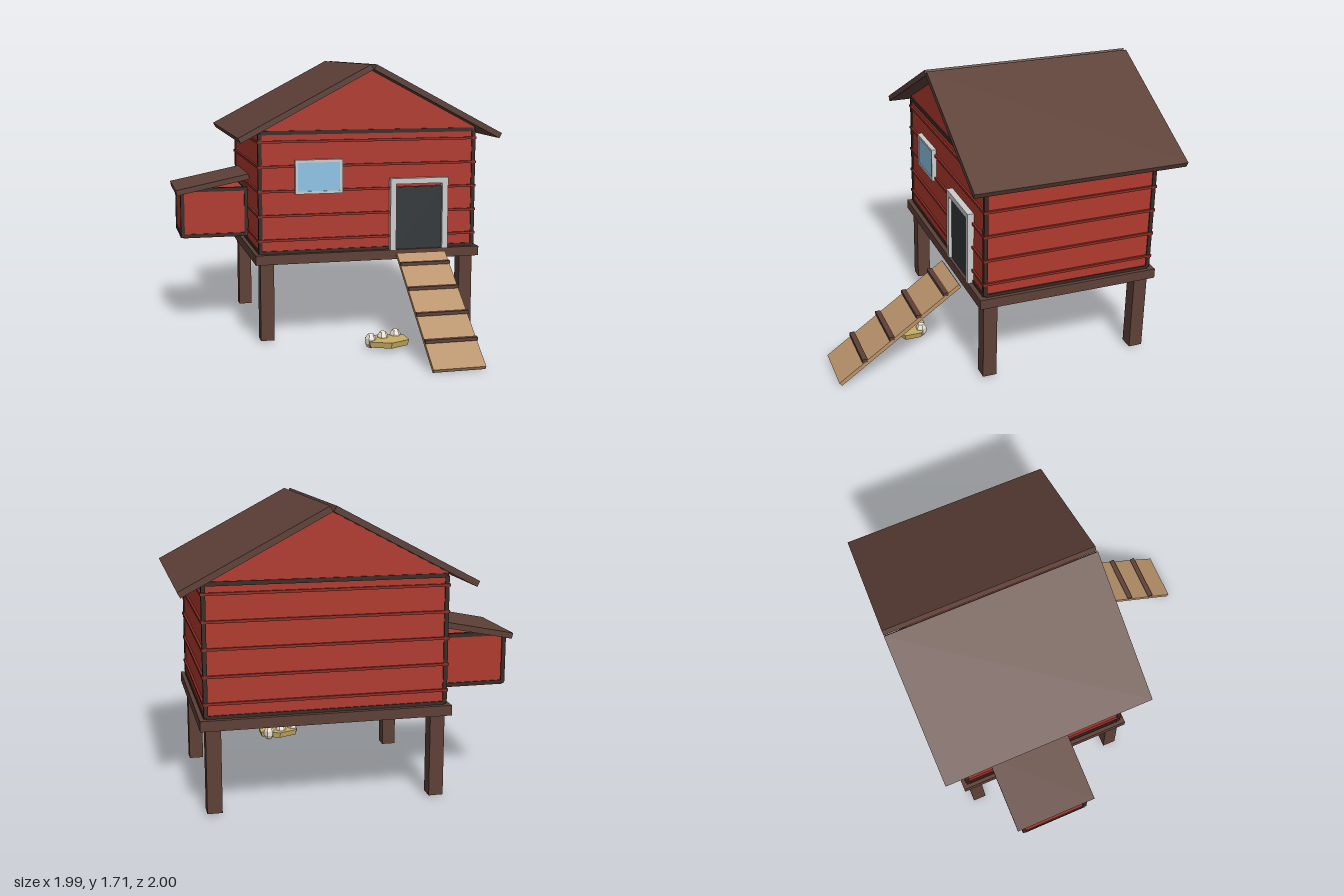
import * as THREE from 'three';

const mat = (color) => new THREE.MeshStandardMaterial({ color, flatShading: true });

export function createModel() {
  const model = new THREE.Group();
  const red = mat(0xb03a2e), batten = mat(0x8c2c24), wood = mat(0x5d4037), trim = mat(0x3a2a26);
  const plank = mat(0xb8926a), white = mat(0xdcdcdc), glass = mat(0x8ec3e6), dark = mat(0x33383b);
  const straw = mat(0xc9ae62), shell = mat(0xe8e0d0);

  const add = (name, geometry, material, x = 0, y = 0, z = 0) => {
    const mesh = new THREE.Mesh(geometry, material);
    mesh.name = name;
    mesh.position.set(x, y, z);
    model.add(mesh);
    return mesh;
  };
  // Box given by its minimum and maximum corners
  const box = (name, material, [x0, y0, z0], [x1, y1, z1]) =>
    add(name, new THREE.BoxGeometry(x1 - x0, y1 - y0, z1 - z0), material,
      (x0 + x1) / 2, (y0 + y1) / 2, (z0 + z1) / 2);

  // Red box with dark strips along all twelve edges
  const trimmedBox = (name, lo, hi, t) => {
    box(name, red, lo, hi);
    const size = hi.map((v, i) => v - lo[i]);
    const mid = hi.map((v, i) => (v + lo[i]) / 2);
    for (let axis = 0; axis < 3; axis++) {
      const b = (axis + 1) % 3, c = (axis + 2) % 3;
      for (const sb of [-1, 1]) for (const sc of [-1, 1]) {
        const dim = [t, t, t], pos = [...mid];
        dim[axis] = size[axis] - t * 0.6;
        pos[b] += sb * (size[b] / 2 - t * 0.2);
        pos[c] += sc * (size[c] / 2 - t * 0.2);
        add(name + 'Trim', new THREE.BoxGeometry(...dim), trim, ...pos);
      }
    }
  };

  const CX = 0.1625, CZ = -0.35; // centre of the house

  // Platform and legs
  box('platform', wood, [-0.555, 0.505, -0.91], [0.88, 0.565, 0.21]);
  for (const sx of [-1, 1]) for (const sz of [-1, 1])
    add('leg', new THREE.BoxGeometry(0.085, 0.485, 0.085), wood, CX + sx * 0.643, 0.2625, CZ + sz * 0.485);

  // House walls and horizontal battens
  trimmedBox('walls', [-0.525, 0.567, -0.875], [0.85, 1.315, 0.175], 0.024);
  for (let i = 0; i < 5; i++)
    add('batten', new THREE.BoxGeometry(1.4, 0.015, 1.075), batten, CX, 0.65 + i * 0.1515, CZ);

  // Gable
  const gable = new THREE.Shape();
  gable.moveTo(-0.6875, 1.31);
  gable.lineTo(0.6875, 1.31);
  gable.lineTo(0.6875, 1.33);
  gable.lineTo(0, 1.693);
  gable.lineTo(-0.6875, 1.33);
  add('gable', new THREE.ExtrudeGeometry(gable, { depth: 1.05, bevelEnabled: false }), red, CX, 0, -0.875);

  // Roof slopes
  for (const s of [-1, 1]) {
    const slope = add('roofSlope', new THREE.BoxGeometry(0.918, 0.035, 1.29), wood, CX + s * 0.415, 1.491, -0.355);
    slope.rotation.z = -s * 0.487;
  }

  // Nesting box with its sloping lid
  trimmedBox('nestingBox', [-0.96, 0.615, -0.67], [-0.54, 0.922, -0.255], 0.024);
  const lid = add('nestingBoxLid', new THREE.BoxGeometry(0.475, 0.035, 0.495), wood, -0.762, 0.953, -0.4625);
  lid.rotation.z = 0.2;

  // Window
  const W = 0.017, wx = [-0.307, -0.01], wy = [0.935, 1.145];
  box('windowFrame', white, [wx[0], wy[0], 0.17], [wx[1], wy[0] + W, 0.205]);
  box('windowFrame', white, [wx[0], wy[1] - W, 0.17], [wx[1], wy[1], 0.205]);
  box('windowFrame', white, [wx[0], wy[0], 0.17], [wx[0] + W, wy[1], 0.205]);
  box('windowFrame', white, [wx[1] - W, wy[0], 0.17], [wx[1], wy[1], 0.205]);
  box('windowPane', glass, [wx[0] + W, wy[0] + W, 0.17], [wx[1] - W, wy[1] - W, 0.2]);

  // Door
  box('doorJamb', white, [0.295, 0.565, 0.17], [0.332, 1.015, 0.213]);
  box('doorJamb', white, [0.633, 0.565, 0.17], [0.67, 1.015, 0.213]);
  box('doorLintel', white, [0.295, 0.98, 0.17], [0.67, 1.015, 0.213]);
  box('doorway', dark, [0.332, 0.565, 0.17], [0.633, 0.957, 0.193]);

  // Ramp with cleats
  const ramp = add('ramp', new THREE.BoxGeometry(0.315, 0.025, 0.91), plank, 0.4825, 0.28, 0.62);
  ramp.rotation.x = 0.613;
  for (let i = 0; i < 4; i++)
    add('rampCleat', new THREE.BoxGeometry(0.318, 0.02, 0.032), wood, 0.4825, 0.15 + i * 0.1167, 0.84 - i * 0.168);

  // Straw nest with eggs
  const nest = add('nest', new THREE.CylinderGeometry(0.108, 0.1, 0.036, 6), straw, 0.21, 0.048, 0.448);
  nest.scale.x = 1.33;
  for (const [x, z] of [[0.105, 0.45], [0.192, 0.413], [0.28, 0.383]]) {
    const egg = add('egg', new THREE.SphereGeometry(0.036, 6, 5), shell, x, 0.06, z);
    egg.scale.y = 1.35;
  }

  return model;
}
